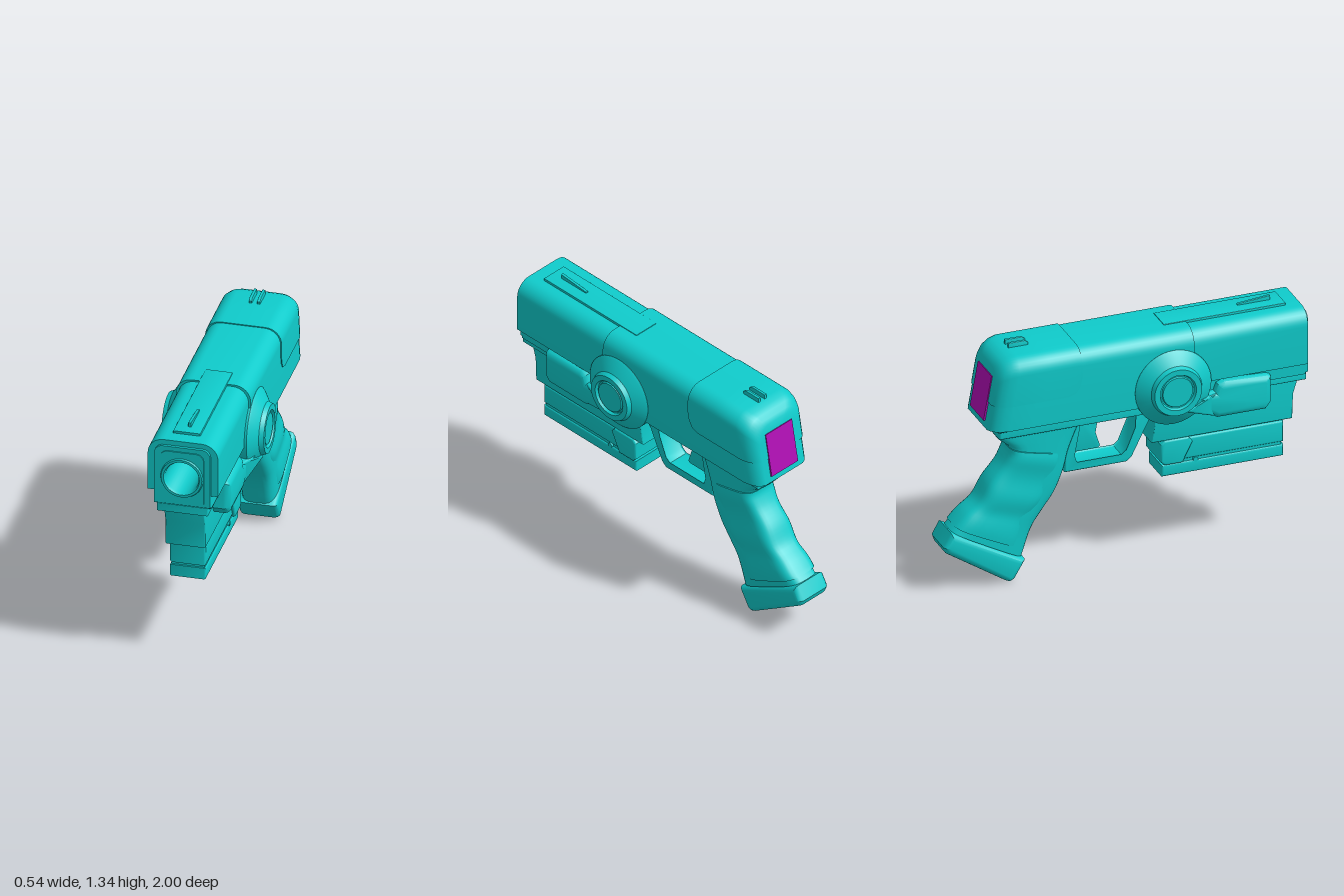
import * as THREE from 'three';
import { toCreasedNormals, mergeVertices } from 'three/addons/utils/BufferGeometryUtils.js';

const teal = new THREE.MeshStandardMaterial({ color: 0x0fcccc, side: THREE.DoubleSide });
const purple = new THREE.MeshStandardMaterial({ color: 0xb00fb5 });
const V = (x, y, z) => new THREE.Vector3(x, y, z);

export function createModel() {
  const model = new THREE.Group();

  function add(name, geo, mat = teal) {
    const mesh = new THREE.Mesh(toCreasedNormals(geo, 0.6), mat);
    mesh.name = name;
    model.add(mesh);
    return mesh;
  }

  // Side outline of [z, y] points, extruded symmetrically across x
  function sideGeo(points, halfWidth, bevel = 0.01, hole) {
    const shape = new THREE.Shape(points.map(([z, y]) => new THREE.Vector2(z, y)));
    if (hole) shape.holes.push(new THREE.Path(hole.map(([z, y]) => new THREE.Vector2(z, y))));
    const depth = 2 * (halfWidth - bevel);
    return new THREE.ExtrudeGeometry(shape, {
      depth, bevelEnabled: bevel > 0, bevelSize: bevel, bevelThickness: bevel,
      bevelOffset: -bevel, bevelSegments: 3,
    }).translate(0, 0, -depth / 2).rotateY(-Math.PI / 2);
  }
  const side = (name, ...args) => add(name, sideGeo(...args));
  const rect = (z0, z1, y0, y1) => [[z0, y0], [z1, y0], [z1, y1], [z0, y1]];

  // Closed skin through equal-length rings, wound outward
  function loft(rings) {
    const n = rings[0].length, pts = rings.flat(), idx = [];
    for (let i = 0; i < rings.length - 1; i++)
      for (let j = 0; j < n; j++) {
        const a = i * n + j, b = i * n + (j + 1) % n;
        idx.push(a, b, a + n, b, b + n, a + n);
      }
    [0, rings.length - 1].forEach((r, end) => {
      const c = pts.length;
      pts.push(rings[r].reduce((s, p) => s.add(p), V(0, 0, 0)).divideScalar(n));
      for (let j = 0; j < n; j++) {
        const a = r * n + j, b = r * n + (j + 1) % n;
        idx.push(...(end ? [a, b, c] : [b, a, c]));
      }
    });
    let volume = 0;
    for (let i = 0; i < idx.length; i += 3)
      volume += pts[idx[i]].dot(V(0, 0, 0).crossVectors(pts[idx[i + 1]], pts[idx[i + 2]]));
    if (volume < 0) idx.reverse();
    const geo = new THREE.BufferGeometry().setFromPoints(pts);
    geo.setIndex(idx);
    return geo;
  }

  // Square-bottomed section with rounded top corners
  function arch(w, y0, y1, r) {
    const pts = [[-w, y0], [w, y0]];
    for (const s of [1, -1])
      for (let i = 0; i <= 8; i++) {
        const a = (s > 0 ? i / 8 : 1 - i / 8) * Math.PI / 2;
        pts.push([s * (w - r + r * Math.cos(a)), y1 - r + r * Math.sin(a)]);
      }
    return pts;
  }

  // Rear of the slide leans forward towards the top
  function lean(geo) {
    const p = geo.attributes.position;
    for (let i = 0; i < p.count; i++) {
      const f = THREE.MathUtils.clamp((-0.28 - p.getZ(i)) / 0.35, 0, 1);
      p.setZ(i, p.getZ(i) + f * 0.18 * (p.getY(i) - 0.92));
    }
    return geo;
  }
  const rearEnd = [[-0.68, 0], [-0.72, 0.008], [-0.75, 0.022], [-0.77, 0.042], [-0.78, 0.065]];
  const slideRing = (z, inset, y0, grow = 0) =>
    arch(0.197 + grow - inset, y0, 1.307 + grow - inset, 0.085).map(([x, y]) => V(x, y, z));
  add('rearSlide', lean(loft([[0.34, 0], [-0.28, 0], [-0.4, 0], [-0.55, 0], ...rearEnd]
    .map(([z, i]) => slideRing(z, i, 0.92)))));
  // Raised cover over the back of the slide
  add('rearCover', lean(loft([
    [-0.28, 0, 1.16], [-0.29, 0, 1.11], [-0.315, 0, 1.075], [-0.36, 0, 1.06], [-0.5, 0, 1.06],
    ...rearEnd.map(([z, i]) => [z - 0.004, i, 1.06]),
  ].map(([z, i, y0]) => slideRing(z, i, y0, 0.005)))));

  // Front of the slide, bored for the barrel
  const boreY = 1.097;
  function bored(points, z0, z1) {
    const shape = new THREE.Shape(points.map(([x, y]) => new THREE.Vector2(x, y)));
    shape.holes.push(new THREE.Path().absarc(0, boreY, 0.105, 0, Math.PI * 2, true));
    return new THREE.ExtrudeGeometry(shape, { depth: z1 - z0, bevelEnabled: false, curveSegments: 32 })
      .translate(0, 0, z0);
  }
  add('frontSlide', bored([[-0.15, 1.0], [-0.15, 0.925], [0.15, 0.925], [0.15, 1.0],
    ...arch(0.186, 1.0, 1.298, 0.085).slice(1), [-0.186, 1.0]], 0.3, 0.97));
  add('muzzlePlate', bored(arch(0.148, 0.935, 1.27, 0.045), 0.96, 0.985));
  add('muzzleInset', bored(arch(0.115, 0.955, 1.245, 0.04), 0.98, 0.991));
  const barrel = [[0, 0.6], [0.088, 0.6], [0.088, 0.985], [0.095, 1], [0.108, 1], [0.113, 0.99], [0.113, 0.95]];
  add('barrel', new THREE.LatheGeometry(barrel.map(([r, h]) => new THREE.Vector2(r, h)), 40)
    .rotateX(Math.PI / 2).translate(0, boreY, 0));

  // Top plate and sights
  side('topPlate', rect(0.22, 0.89, 1.27, 1.311), 0.072, 0.003);
  side('frontSight', [[0.65, 1.29], [0.83, 1.29], [0.83, 1.335], [0.65, 1.318]], 0.008, 0.002);
  for (const x of [-0.022, 0.022])
    side('rearSight', [[-0.62, 1.29], [-0.51, 1.29], [-0.51, 1.325], [-0.53, 1.337], [-0.62, 1.337]], 0.008, 0.002)
      .position.x = x;

  // Coloured plate on the leaning back face
  const plate = add('rearPlate', new THREE.BoxGeometry(0.19, 0.25, 0.012), purple);
  plate.position.set(0, 1.078, -0.755);
  plate.rotation.x = Math.atan(0.18);

  // Frame rails and dust cover
  side('upperRail', rect(-0.715, 0.98, 0.885, 0.93), 0.136, 0.006);
  side('lowerRail', rect(-0.7, 0.16, 0.835, 0.895), 0.115, 0.008);
  side('dustCover', [[0.15, 0.9], [0.155, 0.76], [0.14, 0.66], [0.915, 0.66], [0.92, 0.8], [0.945, 0.88], [0.945, 0.9]],
    0.106, 0.006);

  // Module beneath the dust cover
  side('moduleMount', rect(0.22, 0.82, 0.63, 0.68), 0.06, 0);
  side('moduleUpper', rect(0.21, 0.87, 0.53, 0.65), 0.096, 0.012);
  side('moduleGroove', rect(0.22, 0.86, 0.5, 0.55), 0.088, 0);
  side('moduleLower', rect(0.2, 0.87, 0.45, 0.515), 0.096, 0.01);
  side('moduleClamp', [[0.19, 0.54], [0.21, 0.52], [0.31, 0.52], [0.365, 0.63], [0.345, 0.66], [0.21, 0.66], [0.19, 0.64]],
    0.111, 0.01);
  add('modulePin', new THREE.CylinderGeometry(0.014, 0.014, 0.2, 16).rotateZ(Math.PI / 2).translate(0, 0.52, 0.385));

  // Trigger guard and trigger
  side('triggerGuard', [[0.155, 0.85], [0.145, 0.77], [0.05, 0.58], [0.02, 0.555], [-0.32, 0.555], [-0.32, 0.85]],
    0.06, 0.008,
    [[0.08, 0.83], [0.075, 0.74], [0.025, 0.62], [-0.005, 0.595], [-0.26, 0.595], [-0.275, 0.64], [-0.24, 0.83]]);
  side('trigger', [[-0.1, 0.85], [-0.13, 0.8], [-0.14, 0.74], [-0.115, 0.66], [-0.13, 0.65], [-0.28, 0.65], [-0.25, 0.85]],
    0.035, 0.006);

  // Grip, skinned between a front curve and a back curve
  const curve = pts => new THREE.CatmullRomCurve3(pts.map(([z, y]) => V(0, y, z)));
  const gripFront = curve([[-0.22, 0.86], [-0.25, 0.8], [-0.3, 0.68], [-0.325, 0.58], [-0.375, 0.46],
    [-0.44, 0.37], [-0.5, 0.28], [-0.555, 0.12]]);
  const gripBack = curve([[-0.7, 0.86], [-0.685, 0.81], [-0.622, 0.75], [-0.65, 0.67], [-0.73, 0.57],
    [-0.79, 0.47], [-0.865, 0.41], [-0.945, 0.33]]);
  function gripGeo(t0, t1, f0, f1, width) {
    const rings = [];
    for (let i = 0; i <= 24; i++) {
      const t = t0 + (t1 - t0) * i / 24, f = gripFront.getPoint(t), b = gripBack.getPoint(t), ring = [];
      for (let j = 0; j < 32; j++) {
        const a = j / 32 * Math.PI * 2, c = Math.cos(a), s = Math.sin(a);
        const round = v => Math.sign(v) * Math.sqrt(Math.abs(v));
        const p = f.clone().lerp(b, (f0 + f1) / 2 + (f1 - f0) / 2 * round(c));
        ring.push(p.setX(width(t) * round(s)));
      }
      rings.push(ring);
    }
    return loft(rings);
  }
  add('grip', gripGeo(0, 1, 0, 1, () => 0.099));
  add('gripPanel', gripGeo(0.29, 0.96, 0.12, 1.01, t => 0.106 + 0.005 * Math.sin(t * 22)));
  side('gripBase', [[-0.55, 0.115], [-0.955, 0.335], [-0.998, 0.26], [-0.985, 0.225], [-0.66, 0.012],
    [-0.635, 0.002], [-0.61, 0.015]], 0.107, 0.03);

  // Round hubs on both sides
  const hub = [[0, 0.12], [0.2, 0.12], [0.21, 0.13], [0.21, 0.198], [0.2, 0.208], [0.14, 0.245], [0.13, 0.27],
    [0.1, 0.27], [0.093, 0.255], [0.086, 0.255], [0.082, 0.264], [0, 0.264]];
  for (const s of [1, -1])
    add(s > 0 ? 'leftHub' : 'rightHub',
      new THREE.LatheGeometry(hub.map(([r, h]) => new THREE.Vector2(r, h)), 48)
        .rotateZ(-s * Math.PI / 2).translate(0, 1.01, 0.222));

  // Levers, with arms that flare out to the hubs
  side('levers', [[0.77, 0.82], [0.77, 0.965], [0.75, 0.975], [0.51, 0.985], [0.475, 0.97], [0.46, 0.93], [0.37, 0.93],
    [0.37, 0.84], [0.47, 0.78], [0.74, 0.78]], 0.197, 0.035);
  const arms = sideGeo([[0.48, 0.925], [0.4, 0.925], [0.31, 0.965], [0.2, 0.92], [0.29, 0.87], [0.46, 0.79]], 0.185, 0.015);
  const p = arms.attributes.position;
  for (let i = 0; i < p.count; i++) {
    const flare = THREE.MathUtils.clamp((0.46 - p.getZ(i)) * 0.5, 0, 0.065);
    p.setX(i, p.getX(i) + Math.sign(p.getX(i)) * flare);
  }
  add('leverArms', arms);

  return model;
}
